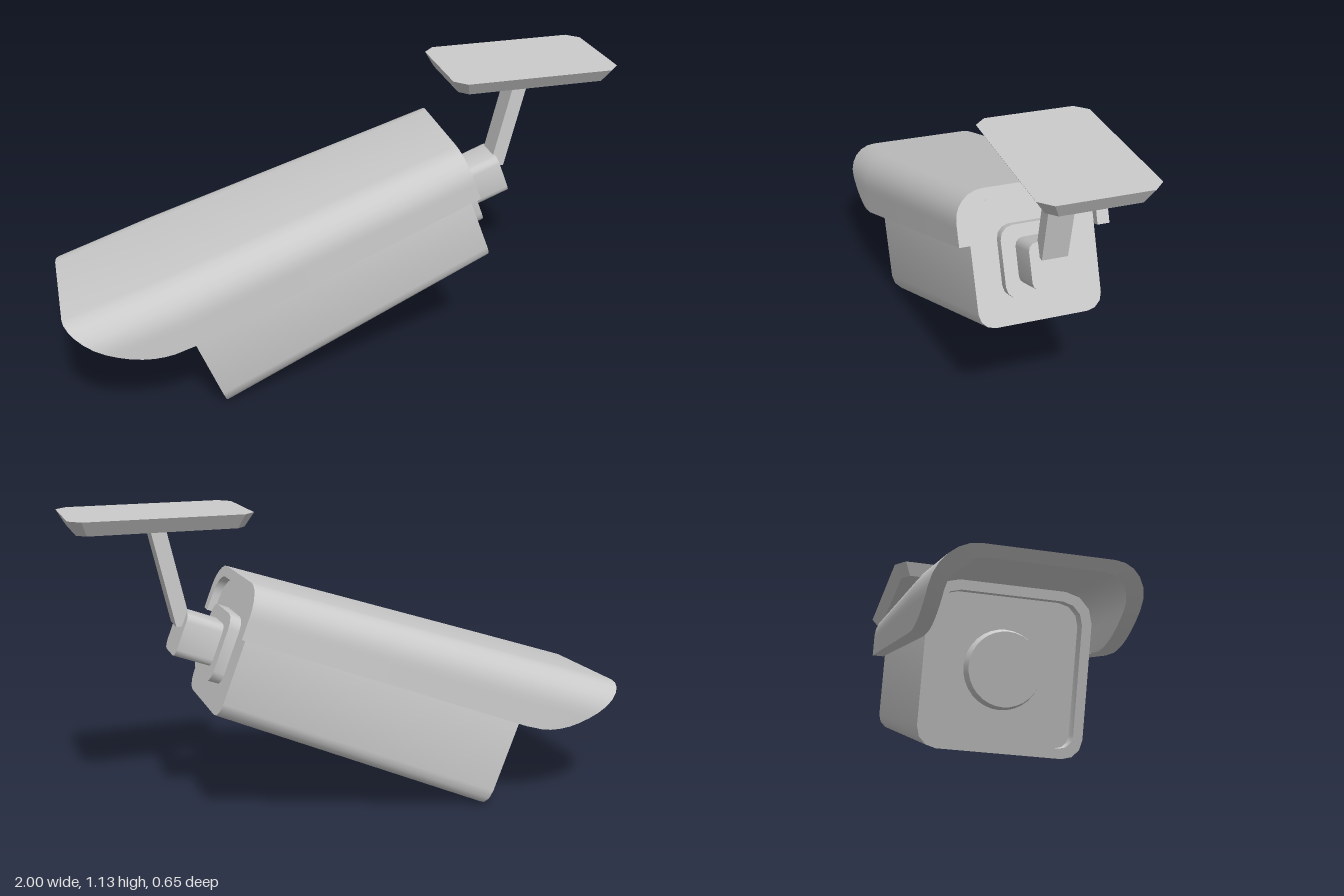
import * as THREE from 'three';
import { toCreasedNormals } from 'three/addons/utils/BufferGeometryUtils.js';

const grey = new THREE.MeshStandardMaterial({ color: 0xcccccc });

// Skin between successive rows of points [x, y, z]; extra quads close open ends
function loft(rows, quads = [], crease = 0.6) {
  const pos = [];
  const quad = (a, b, c, d) => {
    for (const tri of [[a, b, c], [a, c, d]]) {
      const [p, q, r] = tri.map((t) => new THREE.Vector3(...t));
      if (q.sub(p).cross(r.sub(p)).length() > 1e-9) pos.push(...tri.flat());
    }
  };
  for (let i = 0; i < rows.length - 1; i++) {
    for (let j = 0; j < rows[i].length - 1; j++) {
      quad(rows[i][j], rows[i][j + 1], rows[i + 1][j + 1], rows[i + 1][j]);
    }
  }
  quads.forEach((q) => quad(...q));
  const geo = new THREE.BufferGeometry();
  geo.setAttribute('position', new THREE.Float32BufferAttribute(pos, 3));
  return toCreasedNormals(geo, crease);
}

// Closed rounded rectangle across the x axis
function ring(x, halfW, y0, y1, rBottom, rTop = rBottom, seg = 3) {
  const pts = [];
  const corner = (sz, sy, r, start) => {
    const cy = sy > 0 ? y1 - r : y0 + r;
    for (let i = 0; i <= seg; i++) {
      const a = start + (i / seg) * Math.PI / 2;
      pts.push([x, cy + r * Math.sin(a), sz * (halfW - r) + r * Math.cos(a)]);
    }
  };
  corner(1, -1, rBottom, -Math.PI / 2);
  corner(1, 1, rTop, 0);
  corner(-1, 1, rTop, Math.PI / 2);
  corner(-1, -1, rBottom, Math.PI);
  pts.push(pts[0]);
  return pts;
}

// Solid through rings, listed from +x to -x, with both ends capped
function solid(rings) {
  const centre = (r) => {
    const ys = r.map((p) => p[1]);
    const y = (Math.min(...ys) + Math.max(...ys)) / 2;
    return r.map(() => [r[0][0], y, 0]);
  };
  return loft([centre(rings[0]), ...rings, centre(rings[rings.length - 1])]);
}

// Open arch of the sunshade; xAt gives x from the height fraction
const HOOD_BASE = 0.513;
function arch(halfW, top, r, xAt) {
  const side = [0, 0.04, 0.1, 0.2, 0.35, 0.55, 0.78].map((f) => [halfW, HOOD_BASE + f * (top - r - HOOD_BASE)]);
  for (let i = 0; i <= 6; i++) {
    const a = (i / 6) * Math.PI / 2;
    side.push([halfW - r + r * Math.cos(a), top - r + r * Math.sin(a)]);
  }
  const half = side.map(([z, y]) => [xAt((y - HOOD_BASE) / (0.76 - HOOD_BASE)), y, z]);
  return [...half, ...half.map(([x, y, z]) => [x, y, -z]).reverse()];
}

function hoodGeometry() {
  const back = () => 0.703;
  const mid = () => -0.414;
  const visor = (t) => -0.414 - 0.366 * Math.pow(Math.max(t, 0), 0.42);
  const outer = [arch(0.262, 0.694, 0.1, back), arch(0.326, 0.743, 0.12, mid), arch(0.326, 0.76, 0.125, visor)];
  const inner = [arch(0.219, 0.657, 0.08, back), arch(0.272, 0.706, 0.09, mid), arch(0.276, 0.724, 0.095, visor)];
  const [ob, om, of] = outer;
  const [ib, im, inf] = inner;
  const n = ob.length - 1;
  return loft([ob, om, of, inf, im, ib, ob], [
    [ob[0], om[0], im[0], ib[0]],
    [ib[n], im[n], om[n], ob[n]],
  ]);
}

export function createModel() {
  const model = new THREE.Group();
  const add = (parent, name, geo) => {
    const mesh = new THREE.Mesh(geo, grey);
    mesh.name = name;
    parent.add(mesh);
    return mesh;
  };

  // Tilted camera, its axis along local x with the lens end at -x
  const camera = new THREE.Group();
  camera.name = 'cameraHead';
  camera.rotation.z = THREE.MathUtils.degToRad(21);
  model.add(camera);

  add(camera, 'hood', hoodGeometry());

  // Tapered housing with a recessed front
  add(camera, 'housing', solid([
    ring(0.675, 0.217, 0.223, 0.654, 0.055, 0.085),
    ring(-0.416, 0.269, 0.17, 0.702, 0.065, 0.095),
    ring(-0.416, 0.237, 0.202, 0.67, 0.045, 0.07),
    ring(-0.37, 0.237, 0.202, 0.67, 0.045, 0.07),
  ]));

  // Lens set inside the recess
  const lens = add(camera, 'lens', new THREE.CylinderGeometry(0.12, 0.13, 0.04, 32));
  lens.rotation.z = Math.PI / 2;
  lens.position.set(-0.385, 0.436, 0);

  // Rear plate and the joint block on it
  add(camera, 'rearPlate', solid([ring(0.715, 0.125, 0.316, 0.562, 0.045), ring(0.66, 0.125, 0.316, 0.562, 0.045)]));
  add(camera, 'jointBlock', solid([ring(0.848, 0.077, 0.363, 0.518, 0.027), ring(0.7, 0.077, 0.363, 0.518, 0.027)]));

  // Leaning arm, sheared so both ends stay level
  const armGeo = new THREE.BoxGeometry(0.053, 0.35, 0.088);
  const p = armGeo.attributes.position;
  for (let i = 0; i < p.count; i++) p.setX(i, p.getX(i) + 0.223 * p.getY(i));
  armGeo.computeVertexNormals();
  add(model, 'arm', armGeo).position.set(0.656, 0.915, 0);

  // Ceiling plate with clipped corners and bevelled rim
  const plate = add(model, 'ceilingPlate', solid([
    ring(1.135, 0.19, -1.0, -0.39, 0.04, 0.04, 1),
    ring(1.085, 0.157, -0.972, -0.418, 0.03, 0.03, 1),
  ]));
  plate.rotation.z = Math.PI / 2;

  return model;
}
